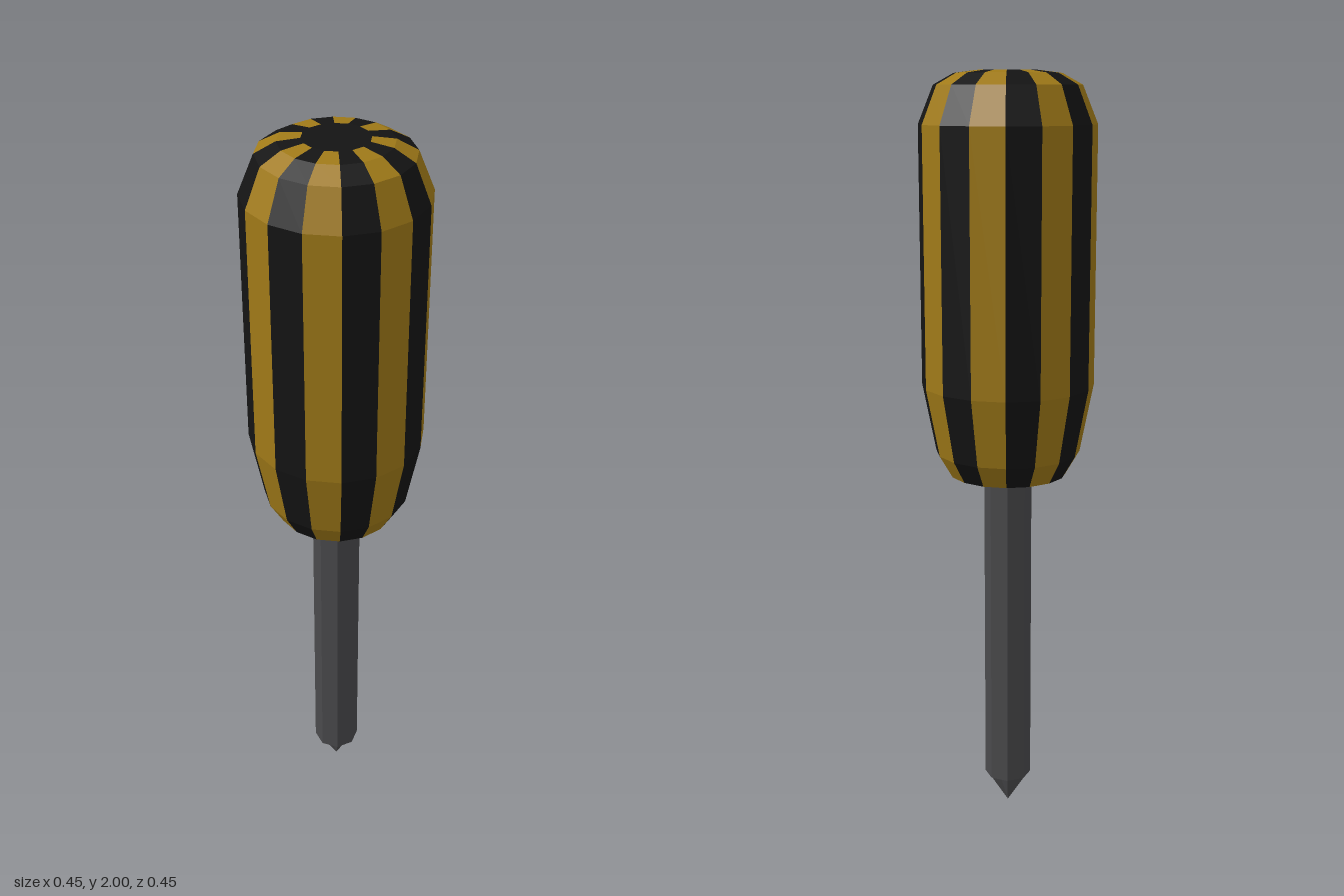
import * as THREE from 'three';

const SIDES = 16;
const STEP = (Math.PI * 2) / SIDES;
const v2 = ([r, y]) => new THREE.Vector2(r, y);
const paint = (color) =>
  new THREE.MeshStandardMaterial({ color, flatShading: true });

function addMesh(parent, name, geometry, material) {
  const mesh = new THREE.Mesh(geometry, material);
  mesh.name = name;
  parent.add(mesh);
  return mesh;
}

// Four-finned cross point: a star-shaped pyramid with its apex at the bottom
function crossPoint(outer, inner, top) {
  const pos = [];
  const corner = (i) => {
    const a = (i * Math.PI) / 4;
    const r = i % 2 ? inner : outer;
    return [r * Math.sin(a), top, r * Math.cos(a)];
  };
  for (let i = 0; i < 8; i++) pos.push(...corner(i), 0, 0, 0, ...corner(i + 1));
  const geo = new THREE.BufferGeometry();
  geo.setAttribute('position', new THREE.Float32BufferAttribute(pos, 3));
  geo.computeVertexNormals();
  return geo;
}

export function createModel() {
  const model = new THREE.Group();
  model.name = 'screwdriver';
  const yellow = paint(0xa07a18);
  const black = paint(0x141414);
  const steel = paint(0x4a4a4c);

  // Handle: one lathe wedge per stripe, alternating colours
  const handle = new THREE.Group();
  handle.name = 'handle';
  model.add(handle);
  const profile = [
    [0.155, 0.97], [0.19, 1.03], [0.225, 1.21], [0.225, 1.87],
    [0.186, 1.965], [0.135, 1.993], [0.08, 2],
  ].map(v2);
  for (let i = 0; i < SIDES; i++) {
    const stripe = new THREE.LatheGeometry(profile, 1, i * STEP, STEP);
    addMesh(handle, i % 2 ? 'yellowStripe' : 'blackStripe', stripe, i % 2 ? yellow : black);
  }

  // Flat discs closing the handle, with corners on the stripe edges
  const topCap = addMesh(handle, 'topCap', new THREE.CircleGeometry(0.08, SIDES), black);
  topCap.rotation.x = -Math.PI / 2;
  topCap.position.y = 2;
  const bottomCap = addMesh(handle, 'bottomCap', new THREE.CircleGeometry(0.155, SIDES), black);
  bottomCap.rotation.x = Math.PI / 2;
  bottomCap.position.y = 0.97;

  // Eight-sided shaft, reaching slightly into the handle
  const shaft = addMesh(model, 'shaft', new THREE.CylinderGeometry(0.063, 0.063, 0.9, 8), steel);
  shaft.position.y = 0.54;

  // Driving tip
  addMesh(model, 'crossTip', crossPoint(0.06, 0.032, 0.09), steel);

  return model;
}
